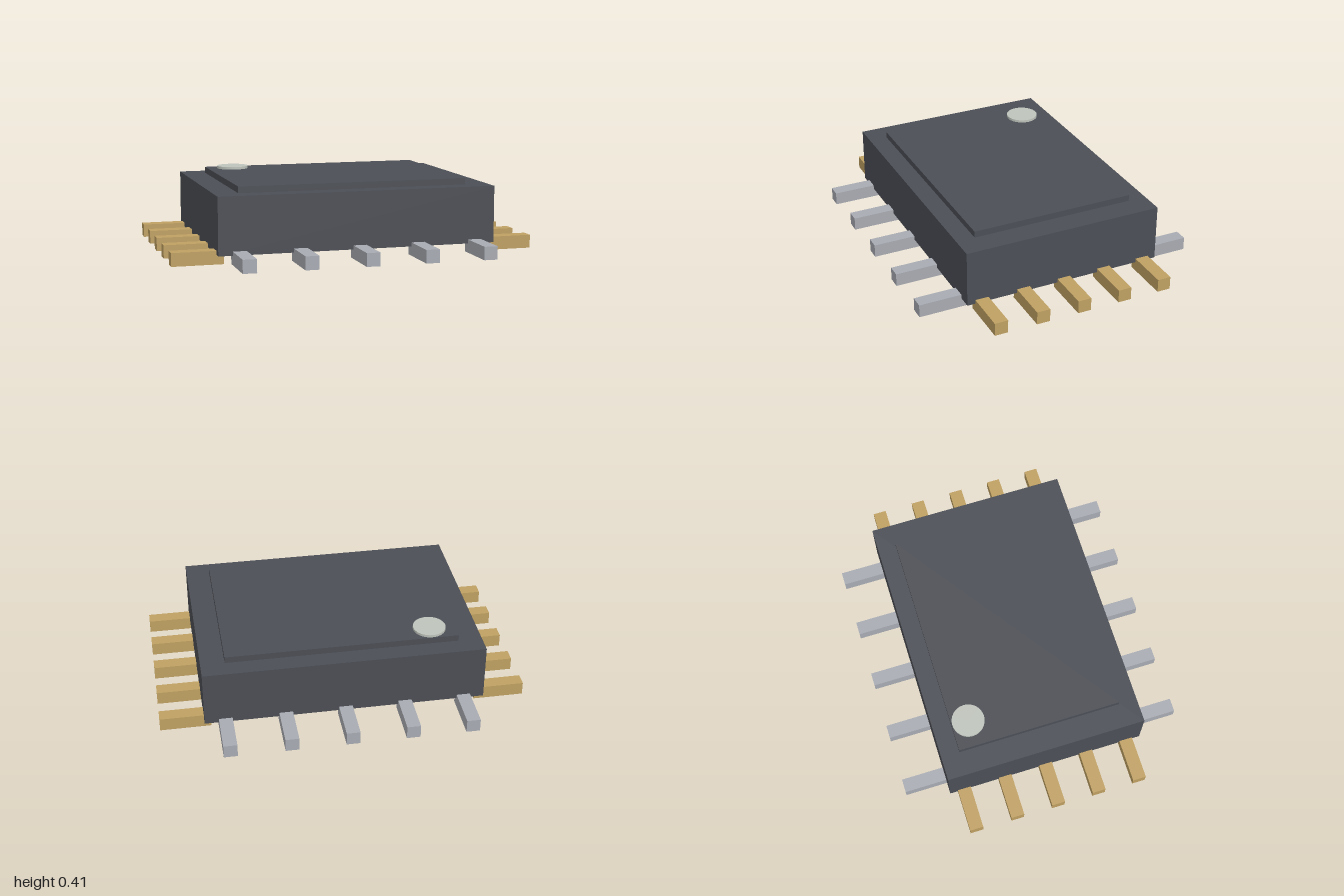
import * as THREE from 'three';

const material = (name, color) => {
  const m = new THREE.MeshStandardMaterial({ color });
  m.name = name;
  return m;
};

export function createModel() {
  const model = new THREE.Group();
  model.name = 'chipPackage';
  const charcoal = material('charcoal', 0x4b4e55);
  const gold = material('gold', 0xbfa062);
  const silver = material('silver', 0xa8abb2);
  const paleGrey = material('paleGrey', 0xbec3bb);

  // Adds a box given its size, base height and centre
  const box = (name, mat, w, h, d, x, y, z) => {
    const mesh = new THREE.Mesh(new THREE.BoxGeometry(w, h, d), mat);
    mesh.name = name;
    mesh.position.set(x, y + h / 2, z);
    model.add(mesh);
  };

  // Body with a raised lid
  box('body', charcoal, 1.526, 0.31, 1.11, 0, 0.05, 0);
  box('lid', charcoal, 1.266, 0.035, 0.906, 0, 0.36, 0);

  // Round marker in the back right corner of the lid
  const marker = new THREE.Mesh(new THREE.CylinderGeometry(0.089, 0.089, 0.014, 32), paleGrey);
  marker.name = 'cornerMarker';
  marker.position.set(-0.49, 0.402, -0.36);
  model.add(marker);

  // Five pins along each side, tucked slightly under the body
  const length = 0.275, width = 0.074, height = 0.072;
  for (const side of [-1, 1]) {
    for (let i = -2; i <= 2; i++) {
      box('sidePin', gold, length, height, width, side * (1 - length / 2), 0, i * 0.2365);
      box('endPin', silver, width, height, length, i * 0.325, 0, side * (0.79 - length / 2));
    }
  }
  return model;
}
